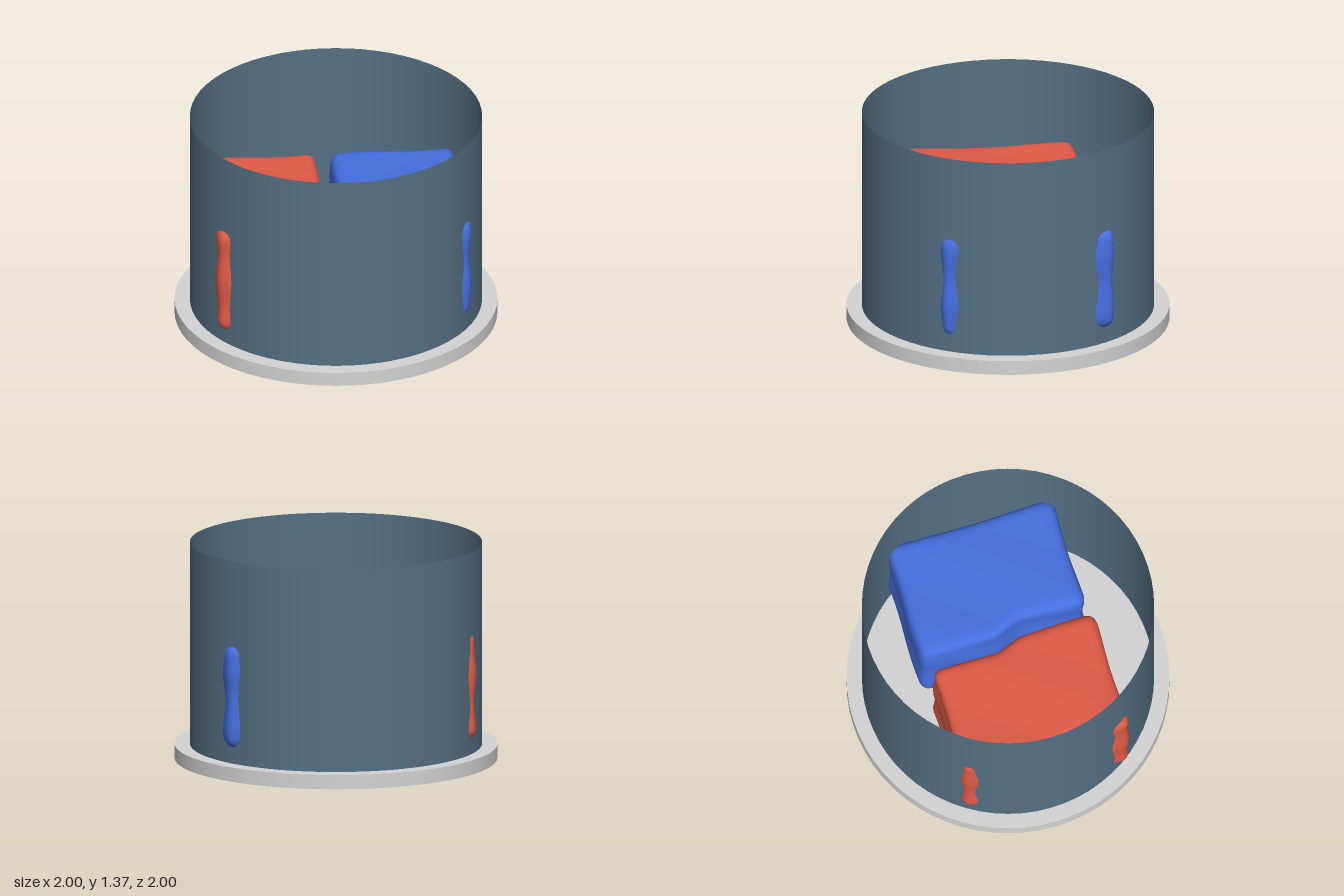
import * as THREE from 'three';
import { mergeVertices } from 'three/addons/utils/BufferGeometryUtils.js';

const flat = (color, name, side = THREE.FrontSide) => {
  const m = new THREE.MeshStandardMaterial({ color, side });
  m.name = name;
  return m;
};

// Soft block with rounded edges, a stepped inner side and slightly wavy faces.
// The block is modelled on the +x side; turning it half a circle gives its twin.
function softBlock(height, phase) {
  const size = [0.77, height, 1.07];
  const r = 0.06;
  const box = new THREE.BoxGeometry(...size, 26, 24, 34);
  box.deleteAttribute('normal');
  box.deleteAttribute('uv');
  const geo = mergeVertices(box);
  const pos = geo.attributes.position;
  const half = new THREE.Vector3(...size).multiplyScalar(0.5);
  const inner = half.clone().subScalar(r);
  const p = new THREE.Vector3(), core = new THREE.Vector3(), n = new THREE.Vector3();
  for (let i = 0; i < pos.count; i++) {
    p.fromBufferAttribute(pos, i);
    core.copy(p).clamp(inner.clone().negate(), inner);
    n.copy(p).sub(core).normalize();
    p.copy(core).addScaledVector(n, r);
    // Step in the side that faces the other block
    const step = 0.065 * THREE.MathUtils.smoothstep(p.z, -0.08, 0.14);
    p.x += step * (half.x - p.x) / size[0];
    // Gentle dents
    const wave = 0.006 * Math.sin(9 * p.x + 7 * p.z + phase)
      + 0.006 * Math.sin(17 * p.y + 5 * p.z + 2 * phase);
    p.addScaledVector(n, wave);
    pos.setXYZ(i, p.x + 0.4, p.y + 0.185 + height / 2, p.z - 0.015);
  }
  geo.computeVertexNormals();
  return geo;
}

export function createModel() {
  const model = new THREE.Group();
  model.name = 'dishWithBlocks';
  const add = (name, geo, mat) => {
    const mesh = new THREE.Mesh(geo, mat);
    mesh.name = name;
    model.add(mesh);
    return mesh;
  };

  // Round base plate
  add('basePlate', new THREE.CylinderGeometry(1, 1, 0.09, 64), flat(0xd3d3d3, 'light grey'))
    .position.y = 0.045;

  // Thin open wall
  add('wall', new THREE.CylinderGeometry(0.905, 0.905, 1.275, 64, 1, true),
    flat(0x557084, 'slate blue', THREE.DoubleSide)).position.y = 0.09 + 1.275 / 2;

  // Two blocks inside, their outer corners poking through the wall
  add('leftBlock', softBlock(0.655, 0.6), flat(0x456fe0, 'blue'));
  add('rightBlock', softBlock(0.67, 2.1), flat(0xdf5a46, 'red')).rotation.y = Math.PI;

  return model;
}
